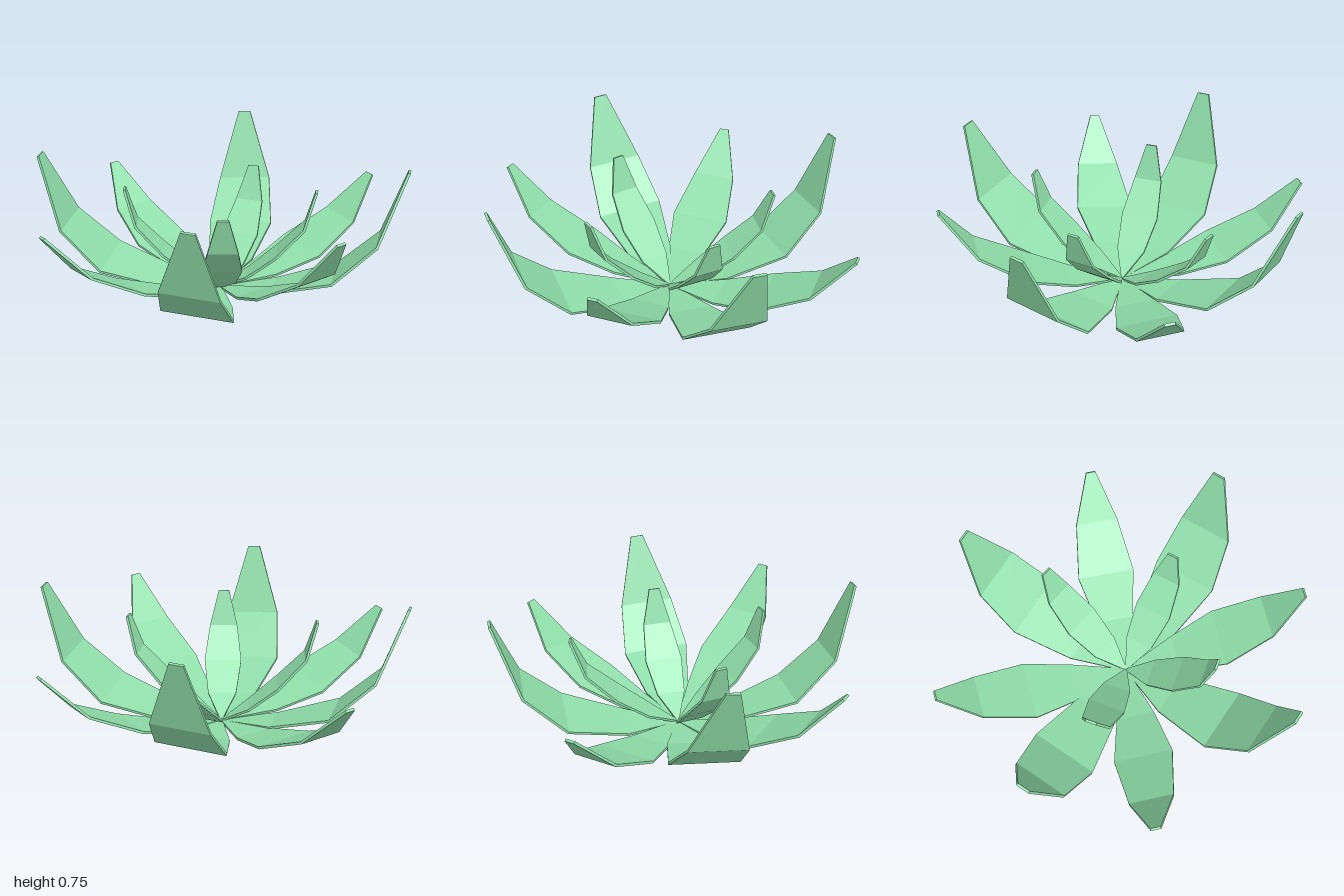
import * as THREE from 'three';

const THICKNESS = 0.014;
const green = new THREE.MeshStandardMaterial({ color: 0x90deaa, flatShading: true });

// Stations along a petal from base to tip: [distance out, height, half width]
const OUTER = [[0, 0.016, 0.006], [0.3, 0.052, 0.125], [0.635, 0.153, 0.19], [0.86, 0.365, 0.155], [0.997, 0.752, 0.036]];
const DIAGONAL = [[0, 0.018, 0.006], [0.3, 0.07, 0.108], [0.56, 0.155, 0.165], [0.834, 0.3, 0.122], [1.03, 0.532, 0.027]];
const INNER = [[0, 0.02, 0.006], [0.15, 0.115, 0.08], [0.31, 0.25, 0.106], [0.458, 0.41, 0.08], [0.515, 0.607, 0.03]];

// Thin solid strip bent along its stations, running out along +x
function petalGeometry(stations) {
  const rings = stations.map(([r, h, w], i) => {
    const p = stations[Math.max(i - 1, 0)];
    const n = stations[Math.min(i + 1, stations.length - 1)];
    const len = Math.hypot(n[0] - p[0], n[1] - p[1]);
    const dx = ((n[1] - p[1]) / len) * THICKNESS;
    const dy = (-(n[0] - p[0]) / len) * THICKNESS;
    // top -z, top +z, bottom +z, bottom -z
    return [[r, h, -w], [r, h, w], [r + dx, h + dy, w], [r + dx, h + dy, -w]];
  });
  const positions = [];
  const quad = (a, b, c, d) => positions.push(...a, ...b, ...c, ...a, ...c, ...d);
  for (let i = 0; i < rings.length - 1; i++) {
    for (let k = 0; k < 4; k++) {
      const m = (k + 1) % 4;
      quad(rings[i][k], rings[i][m], rings[i + 1][m], rings[i + 1][k]);
    }
  }
  // Close the base and the blunt tip
  const [a, b, c, d] = rings[0];
  quad(d, c, b, a);
  quad(...rings[rings.length - 1]);
  const geometry = new THREE.BufferGeometry();
  geometry.setAttribute('position', new THREE.Float32BufferAttribute(positions, 3));
  geometry.computeVertexNormals();
  return geometry;
}

// Each placement: [yaw, lift, roll] in degrees
function petalRing(name, petalName, stations, placements) {
  const ring = new THREE.Group();
  ring.name = name;
  const geometry = petalGeometry(stations);
  for (const angles of placements) {
    const [yaw, lift, roll] = angles.map(THREE.MathUtils.degToRad);
    const petal = new THREE.Mesh(geometry, green);
    petal.name = petalName;
    petal.rotation.set(roll, yaw, lift, 'YZX');
    ring.add(petal);
  }
  return ring;
}

export function createModel() {
  const group = new THREE.Group();
  group.name = 'flower';
  // Four wide petals at right angles
  group.add(petalRing('outerPetals', 'outerPetal', OUTER,
    [0, 90, 180, 270].map((a) => [a - 4.3, 0, -4.5])));
  // Four petals between them, each lifted a little differently
  group.add(petalRing('diagonalPetals', 'diagonalPetal', DIAGONAL,
    [[-46.5, 4.7, 1], [42.4, -2.2, 4], [135.8, -3.3, 0], [220.7, 0, 6]]));
  // Four small upright petals in the middle
  group.add(petalRing('innerPetals', 'innerPetal', INNER,
    [[0, 0, 0], [78, -6.4, 0], [189, 0, 0], [-81, 1, 0]]));
  return group;
}
